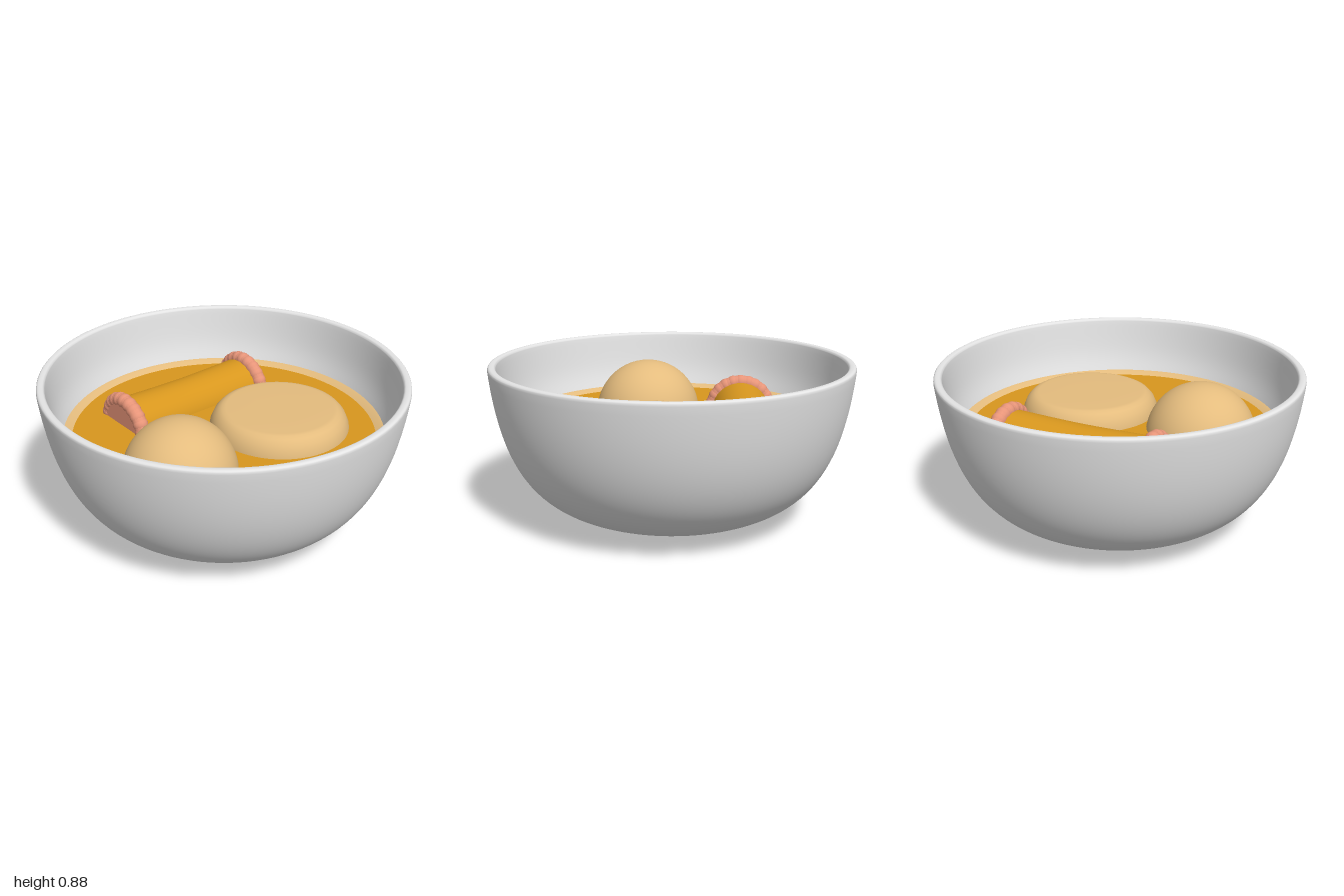
import * as THREE from 'three';

const mat = (name, color) => {
  const m = new THREE.MeshStandardMaterial({ color });
  m.name = name;
  return m;
};

const points = pts => pts.map(([r, y]) => new THREE.Vector2(r, y));

// Smooth curve through a few [radius, height] points
const smooth = (pts, n) =>
  new THREE.SplineCurve(points(pts)).getPoints(n).map(p => new THREE.Vector2(Math.max(p.x, 0), p.y));

const part = (parent, name, geometry, material, x = 0, y = 0, z = 0) => {
  const mesh = new THREE.Mesh(geometry, material);
  mesh.name = name;
  mesh.position.set(x, y, z);
  parent.add(mesh);
  return mesh;
};

export function createModel() {
  const ceramic = mat('pale grey ceramic', 0xe4e4e4);
  const broth = mat('amber broth', 0xd8971e);
  const tan = mat('tan', 0xe4bc7e);
  const salmon = mat('salmon', 0xe9967a);
  const model = new THREE.Group();
  model.name = 'soupBowl';

  // Bowl: outer wall, rounded rim and inner wall in one turned profile
  const outer = new THREE.CubicBezierCurve(
    ...points([[0, 0], [0.65, 0], [0.93, 0.12], [1, 0.86]])).getPoints(48);
  const rim = smooth([[0.998, 0.871], [0.99, 0.879], [0.975, 0.88], [0.962, 0.877], [0.955, 0.866]], 10);
  const inner = smooth([[0.951, 0.84], [0.925, 0.68], [0.888, 0.56], [0.82, 0.4],
    [0.7, 0.25], [0.5, 0.13], [0.25, 0.08], [0, 0.07]], 36);
  part(model, 'bowl', new THREE.LatheGeometry([...outer, ...rim, ...inner], 96), ceramic);

  // Broth surface with a paler band climbing slightly where it meets the wall
  part(model, 'broth', new THREE.CircleGeometry(0.85, 96).rotateX(-Math.PI / 2), broth, 0, 0.541, 0);
  part(model, 'brothEdge', new THREE.LatheGeometry(points([[0.892, 0.56], [0.87, 0.555], [0.838, 0.54]]), 96), tan);

  // Egg
  part(model, 'egg', new THREE.SphereGeometry(0.307, 48, 32), tan, -0.422, 0.49, 0.157);

  // Thick round slice with a softened upper edge
  const slice = points([[0, 0.3], [0.3, 0.3], [0.36, 0.34], [0.39, 0.42], [0.396, 0.5], [0.388, 0.56],
    [0.368, 0.605], [0.343, 0.632], [0.322, 0.643], [0.3, 0.647], [0.15, 0.649], [0, 0.649]]);
  part(model, 'roundSlice', new THREE.LatheGeometry(slice, 64), tan, 0.272, 0, 0.157);

  // Roll lying along x, slightly waisted, with a beaded cap on each end
  const roll = new THREE.Group();
  roll.name = 'roll';
  roll.position.set(0.045, 0.508, -0.398);
  model.add(roll);
  const waist = smooth([[0.171, -0.42], [0.165, -0.2], [0.162, 0], [0.165, 0.2], [0.171, 0.42]], 16);
  part(roll, 'rollBody', new THREE.LatheGeometry(waist, 48).rotateZ(-Math.PI / 2), broth);

  const beads = 24;
  for (const side of [-1, 1]) {
    const cap = new THREE.Group();
    cap.name = side > 0 ? 'leftCap' : 'rightCap';
    cap.position.x = side * 0.432;
    roll.add(cap);
    part(cap, 'capDisc', new THREE.CylinderGeometry(0.18, 0.18, 0.07, 40).rotateZ(Math.PI / 2), salmon);
    part(cap, 'capRim', new THREE.TorusGeometry(0.168, 0.04, 14, 48).rotateY(Math.PI / 2), salmon);
    for (let i = 0; i < beads; i++) {
      const a = (i / beads) * Math.PI * 2;
      part(cap, 'bead', new THREE.SphereGeometry(0.043, 14, 10), salmon,
        0, Math.cos(a) * 0.168, Math.sin(a) * 0.168);
    }
  }
  return model;
}
